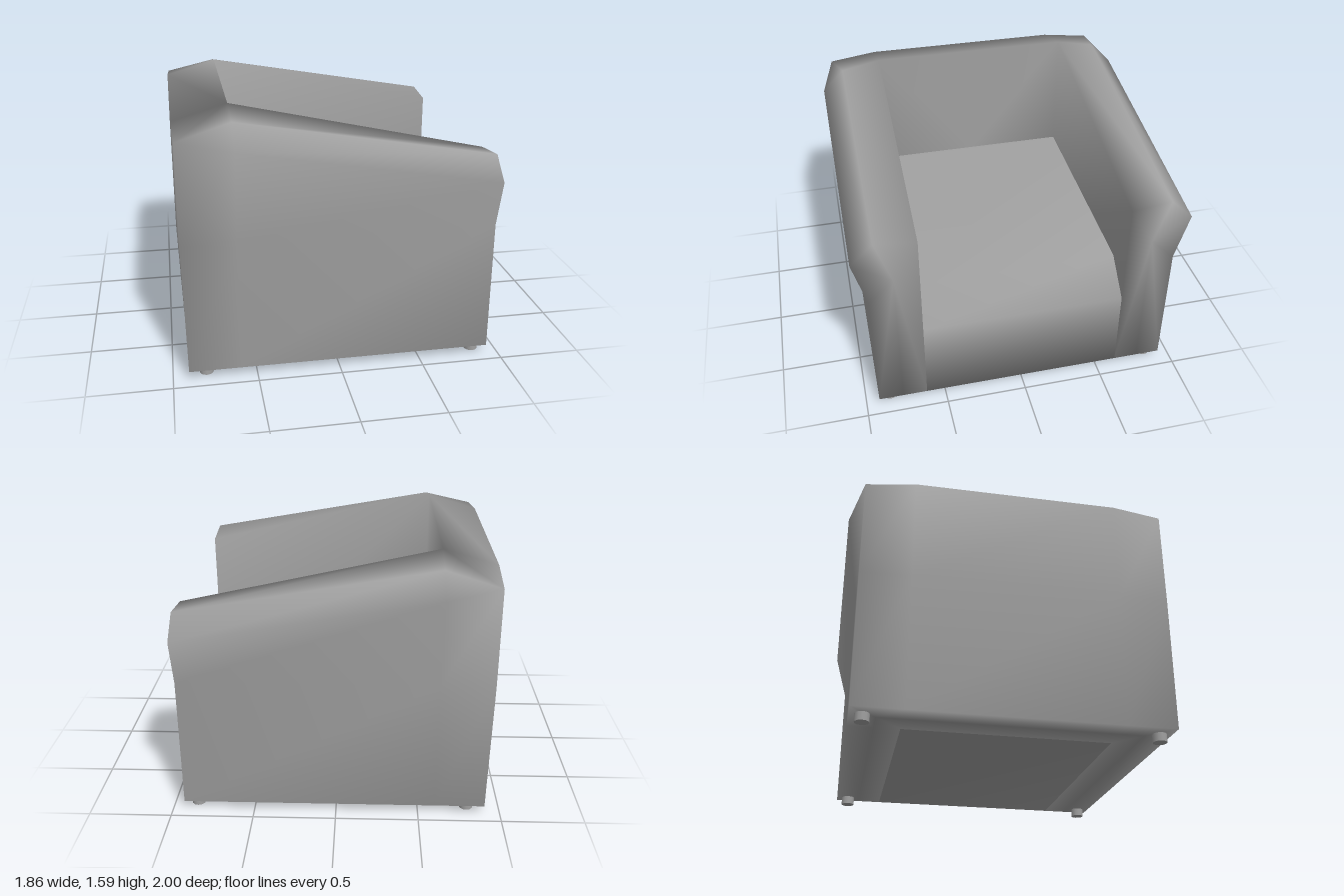
import * as THREE from 'three';
import { mergeVertices } from 'three/addons/utils/BufferGeometryUtils.js';

// Builds a smooth surface from a list of triangles, welding shared corners
function surface(tris) {
  const g = new THREE.BufferGeometry();
  g.setAttribute('position', new THREE.Float32BufferAttribute(tris.flat(2), 3));
  const welded = mergeVertices(g, 1e-4);
  welded.computeVertexNormals();
  return welded;
}

const quad = (a, b, c, d) => [[a, b, c], [a, c, d]];
const fan = (centre, ring) => ring.map((p, i) => [centre, p, ring[(i + 1) % ring.length]]);

// U-shaped body: cross-sections run from one arm's front, round the back, to the other arm
function shellGeometry() {
  // each section: inner top, ridge, outer top, waist, bottom, underside middle, inner bottom
  const innerTop = [-0.605, 1.59, 0.62], innerBottom = [-0.605, 0.05, 0.62];
  const half = [
    [[0.93, 1.25, 0.62], [0.93, 1.28, 0.865], [0.93, 1.15, 1], [0.93, 0.86, 0.92],
      [0.93, 0.05, 0.92], [0.93, 0.05, 0.77], [0.93, 0.05, 0.62]],
    [innerTop, [-0.6, 1.545, 0.865], [-0.6, 1.41, 1], [-0.6, 0.86, 0.92],
      [-0.6, 0.05, 0.92], [-0.6, 0.05, 0.77], innerBottom],
    [innerTop, [-0.92, 1.46, 0.92], [-0.92, 1.46, 0.92], [-0.92, 0.86, 0.92],
      [-0.905, 0.05, 0.92], [-0.76, 0.05, 0.77], innerBottom],
    [innerTop, [-0.93, 1.495, 0.62], [-0.93, 1.495, 0.62], [-0.93, 0.86, 0.62],
      [-0.905, 0.05, 0.62], [-0.76, 0.05, 0.62], innerBottom],
  ];
  const mirror = ([x, y, z]) => [x, y, -z];
  const stations = [...half, ...half.map((s) => s.map(mirror)).reverse()];
  const tris = [];
  for (let s = 0; s < stations.length - 1; s++) {
    const a = stations[s], b = stations[s + 1];
    for (let i = 0; i < 7; i++) {
      const j = (i + 1) % 7;
      if (s === 3 && i === 6) {
        // inner face of the backrest
        tris.push(...fan([-0.605, 0.82, 0], [a[0], a[6], b[6], b[0]]));
      } else {
        tris.push(...quad(a[i], b[i], b[j], a[j]));
      }
    }
  }
  // front ends of the arms
  const hub = [0.93, 1.0, 0.77];
  tris.push(...fan(hub, half[0]));
  tris.push(...fan(mirror(hub), half[0].map(mirror).reverse()));
  return surface(tris);
}

// Seat: a side profile swept between the arms
function addSeat(group, material) {
  const profile = [[-0.605, 0.05], [0.93, 0.05], [0.93, 0.58], [0.73, 0.765], [-0.605, 0.82]];
  const left = profile.map(([x, y]) => [x, y, 0.62]);
  const right = profile.map(([x, y]) => [x, y, -0.62]);
  const skin = [];
  for (let i = 0; i < 4; i++) skin.push(...quad(left[i], right[i], right[i + 1], left[i + 1]));
  const sides = [
    ...fan([0, 0.4, 0.62], left),
    ...fan([0, 0.4, -0.62], [...right].reverse()),
  ];
  const seat = new THREE.Group();
  seat.name = 'seat';
  for (const [name, tris] of [['seatCushion', skin], ['seatSides', sides]]) {
    const mesh = new THREE.Mesh(surface(tris), material);
    mesh.name = name;
    seat.add(mesh);
  }
  group.add(seat);
}

export function createModel() {
  const model = new THREE.Group();
  model.name = 'armchair';
  const grey = new THREE.MeshStandardMaterial({ color: 0xa0a0a0 });
  grey.name = 'grey upholstery';

  const shell = new THREE.Mesh(shellGeometry(), grey);
  shell.name = 'armsAndBackrest';
  model.add(shell);

  addSeat(model, grey);

  // Four short round feet
  const footGeometry = new THREE.CylinderGeometry(0.042, 0.042, 0.055, 12);
  for (const x of [-0.8, 0.855]) {
    for (const z of [-0.845, 0.845]) {
      const foot = new THREE.Mesh(footGeometry, grey);
      foot.name = x > 0 ? 'frontFoot' : 'backFoot';
      foot.position.set(x, 0.0275, z);
      model.add(foot);
    }
  }
  return model;
}
